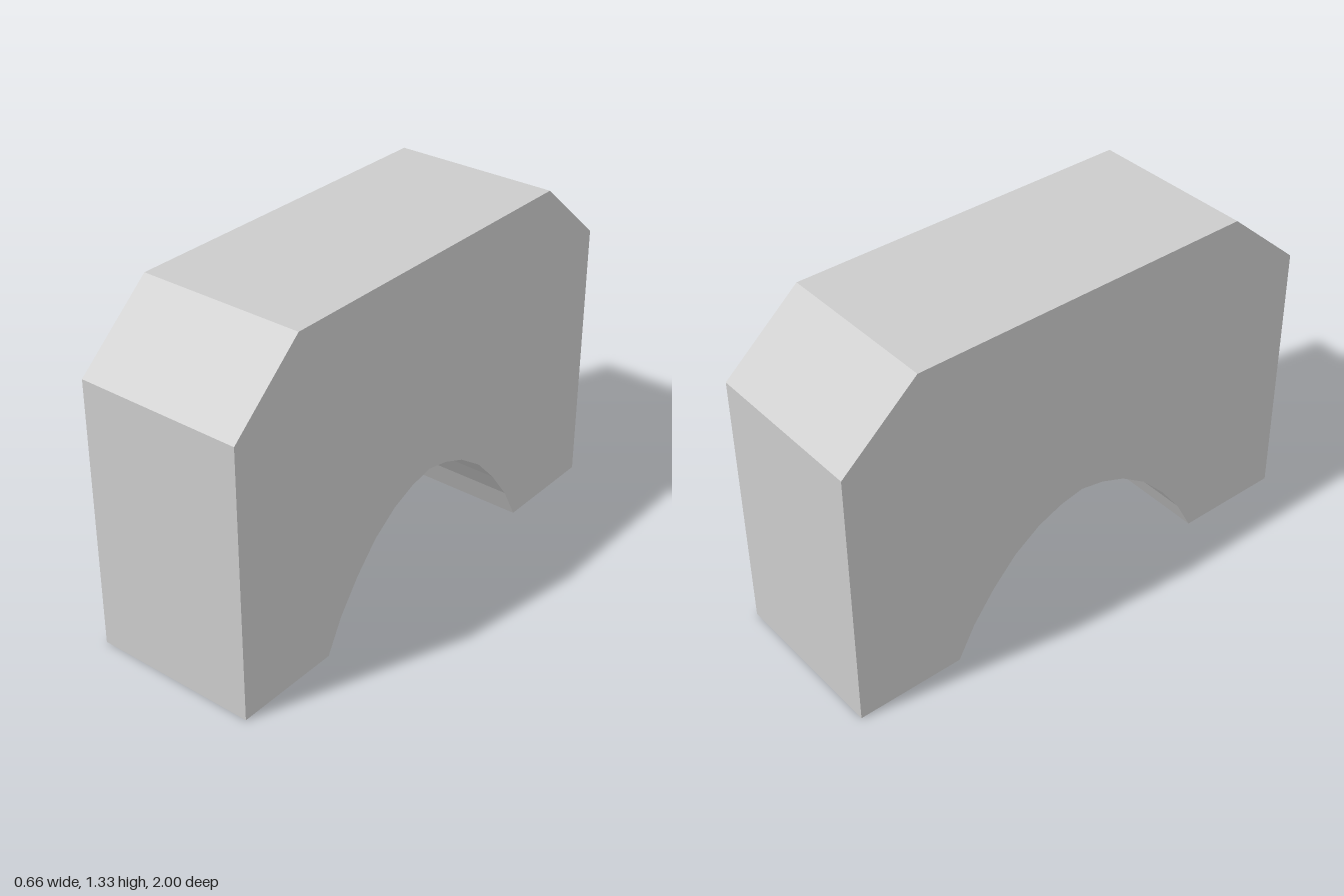
import * as THREE from 'three';

export function createModel() {
  const group = new THREE.Group();
  group.name = 'archBlock';
  const width = 0.66;

  // Half of the side outline (z, y): arch crown, down to the foot, up to the roof
  const half = [
    [0, 0.49], [0.1, 0.47], [0.2, 0.43], [0.31, 0.355], [0.41, 0.25], [0.5, 0.13], [0.57, 0],
    [1, 0], [1, 1.065], [0.695, 1.33],
  ];
  const mirrored = half.slice(1).reverse().map(([z, y]) => [-z, y]);
  const outline = [...half, ...mirrored].map(([z, y]) => new THREE.Vector2(z, y));

  // Extrude across the width, then turn the outline to run along z
  const geometry = new THREE.ExtrudeGeometry(new THREE.Shape(outline), {
    depth: width,
    bevelEnabled: false,
  });
  geometry.translate(0, 0, -width / 2);
  geometry.rotateY(-Math.PI / 2);

  const material = new THREE.MeshStandardMaterial({ color: 0xcccccc, flatShading: true });
  const block = new THREE.Mesh(geometry, material);
  block.name = 'archedBody';
  group.add(block);
  return group;
}
